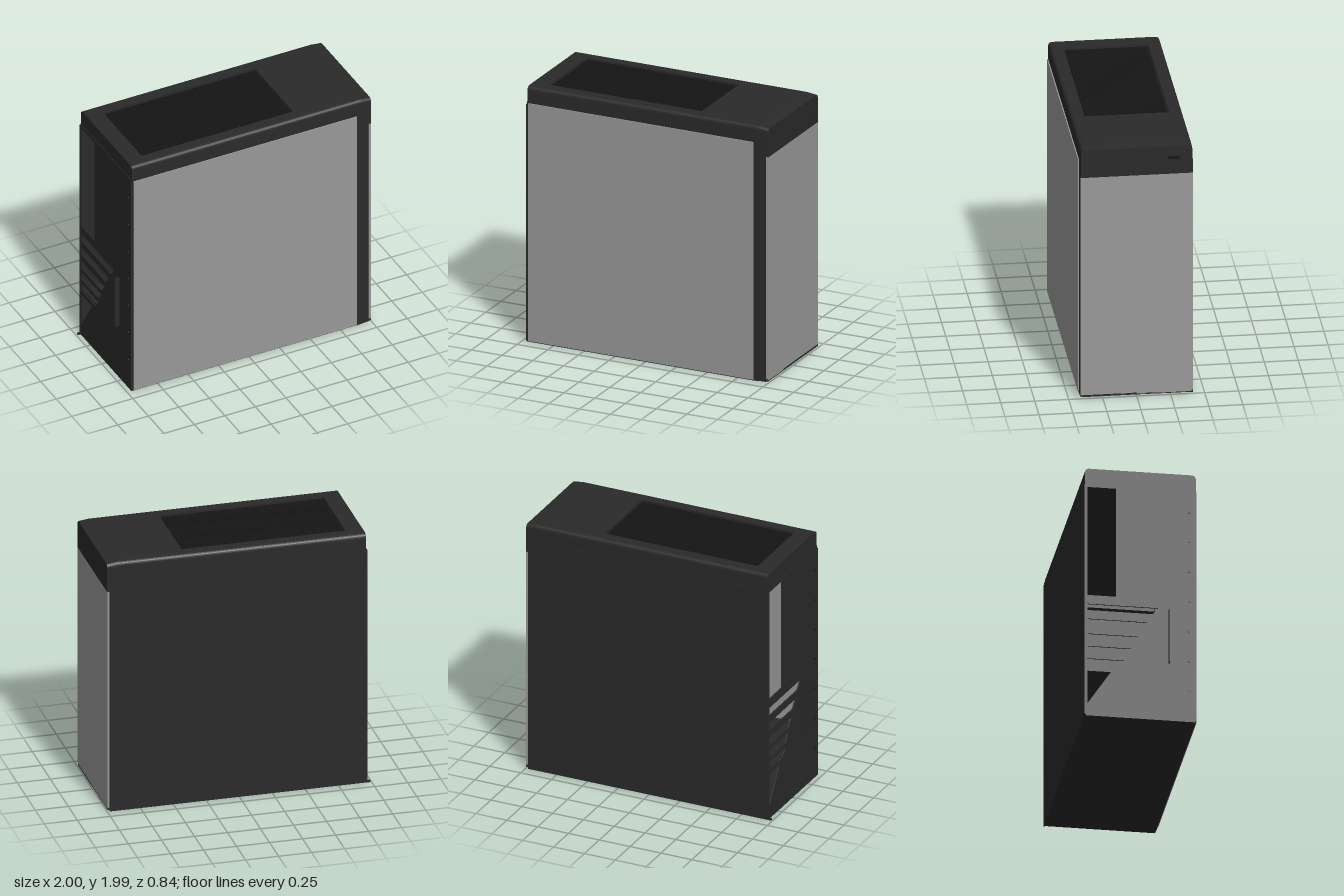
import * as THREE from 'three';

const black = new THREE.MeshStandardMaterial({ color: 0x2a2a2a, side: THREE.DoubleSide });
const dark = new THREE.MeshStandardMaterial({ color: 0x161616 });
const grey = new THREE.MeshStandardMaterial({ color: 0x999999, side: THREE.DoubleSide });

export function createModel() {
  const model = new THREE.Group();

  function add(name, geometry, material) {
    const mesh = new THREE.Mesh(geometry, material);
    mesh.name = name;
    model.add(mesh);
    return mesh;
  }
  // Box given by its two opposite corners
  function box(name, [x0, y0, z0], [x1, y1, z1], material = black) {
    const g = new THREE.BoxGeometry(x1 - x0, y1 - y0, z1 - z0);
    g.translate((x0 + x1) / 2, (y0 + y1) / 2, (z0 + z1) / 2);
    return add(name, g, material);
  }
  // Outline in (z, y), extruded along x from x0 to x1
  function extrudeX(shape, x0, x1) {
    const g = new THREE.ExtrudeGeometry(shape, { depth: x1 - x0, bevelEnabled: false, curveSegments: 6 });
    return g.rotateY(Math.PI / 2).translate(x0, 0, 0);
  }
  const polygon = (pts, Type = THREE.Shape) => new Type(pts.map(([z, y]) => new THREE.Vector2(-z, y)));

  // Cap cross-section with rounded top corners and an optional vent recess
  function capShape(bottom, recess = 0) {
    const w = 0.41, top = 1.99, r = 0.035, s = new THREE.Shape();
    s.moveTo(-w, bottom);
    s.lineTo(w, bottom);
    s.lineTo(w, top - r);
    s.quadraticCurveTo(w, top, w - r, top);
    if (recess) {
      s.lineTo(0.31, top);
      s.lineTo(0.31, top - recess);
      s.lineTo(-0.31, top - recess);
      s.lineTo(-0.31, top);
    }
    s.lineTo(-w + r, top);
    s.quadraticCurveTo(-w, top, -w, top - r);
    s.closePath();
    return s;
  }

  // Top cap in sections, the middle one carrying the vent recess
  add('topCapRear', extrudeX(capShape(1.86), -0.96, -0.83), black);
  add('topCapVent', extrudeX(capShape(1.86, 0.025), -0.83, 0.41), black);
  add('topCapMiddle', extrudeX(capShape(1.86), 0.41, 0.92), black);
  const nose = extrudeX(capShape(1.76), 0.92, 1);
  const p = nose.attributes.position;
  for (let i = 0; i < p.count; i++) {
    if (p.getX(i) > 0.99 && p.getY(i) > 1.9) p.setY(i, p.getY(i) - 0.01);
  }
  nose.computeVertexNormals();
  add('topCapNose', nose, black);

  // Vent mesh
  const vent = new THREE.Group();
  vent.name = 'topVent';
  const backing = new THREE.Mesh(new THREE.BoxGeometry(1.23, 0.006, 0.61), dark);
  backing.position.set(-0.21, 1.967, 0);
  vent.add(backing);
  function bars(count, span, size, along) {
    const inst = new THREE.BoxGeometry(...size);
    for (let i = 0; i <= count; i++) {
      const bar = new THREE.Mesh(inst, dark);
      const t = (i / count - 0.5) * span;
      bar.position.set(along === 'x' ? -0.21 + t : -0.21, 1.975, along === 'z' ? t : 0);
      vent.add(bar);
    }
  }
  bars(80, 1.21, [0.006, 0.01, 0.6], 'x');
  bars(40, 0.59, [1.22, 0.01, 0.006], 'z');
  model.add(vent);

  // Side panels
  box('glassSidePanel', [-0.95, 0.008, 0.408], [0.88, 1.86, 0.418], grey);
  box('glassPanelRearEdge', [-0.97, 0.005, 0.395], [-0.95, 1.85, 0.412]);
  box('solidSidePanel', [-0.97, 0, -0.416], [0.98, 1.86, -0.404]);
  box('panelFoot', [-0.99, 0, -0.418], [-0.96, 0.015, -0.404]);

  // Front pillar, open to the chassis behind it
  box('frontPillar', [0.88, 0.005, 0.395], [0.98, 1.87, 0.41]);
  box('frontWall', [0.965, 0.015, -0.405], [0.985, 1.78, 0.405]);

  // Front panel with rounded lower corners
  const f = 0.413, front = new THREE.Shape();
  front.moveTo(-f, 1.76);
  front.lineTo(-f, 0.04);
  front.quadraticCurveTo(-f, 0.018, -f + 0.022, 0.018);
  front.lineTo(f - 0.022, 0.018);
  front.quadraticCurveTo(f, 0.018, f, 0.04);
  front.lineTo(f, 1.76);
  front.closePath();
  add('frontPanel', extrudeX(front, 0.982, 0.998), grey);

  // Floor, with a rising front lip
  box('floor', [-0.965, 0, -0.41], [0.88, 0.015, 0.41]);
  const lip = box('floorLip', [0.88, 0, -0.412], [0.998, 0.015, 0.412]).geometry;
  const lp = lip.attributes.position;
  for (let i = 0; i < lp.count; i++) if (lp.getX(i) > 0.95) lp.setY(i, lp.getY(i) + 0.012);
  lip.computeVertexNormals();

  // Rear wall with port opening, expansion slots and power supply opening
  const rear = polygon([[-0.41, 0], [0.41, 0], [0.41, 1.87], [-0.41, 1.87]]);
  const hole = (pts) => rear.holes.push(polygon(pts, THREE.Path));
  hole([[-0.39, 0.97], [-0.18, 0.97], [-0.18, 1.84], [-0.39, 1.84]]);
  for (const [top, end] of [[0.9, 0.13], [0.78, 0.05], [0.66, -0.02], [0.56, -0.07], [0.46, -0.12]]) {
    hole([[-0.39, top - 0.065], [end - 0.05, top - 0.065], [end, top], [-0.39, top]]);
  }
  hole([[-0.39, 0.1], [-0.22, 0.36], [-0.39, 0.36]]);
  add('rearWall', extrudeX(rear, -0.965, -0.955), black);
  box('powerSupplyShroud', [-0.95, 0.39, -0.4], [0.88, 0.4, 0.4]);

  // Expansion slot bracket
  box('slotBracket', [-1, 0.46, 0.208], [-0.96, 0.89, 0.216]);

  // Rear screws
  const screw = new THREE.CylinderGeometry(0.01, 0.01, 0.008, 12).rotateZ(Math.PI / 2);
  for (let i = 0; i < 7; i++) {
    add('rearScrew', screw, dark).position.set(-0.967, 0.25 + i * 0.24, 0.36);
  }

  // Ports and buttons on the nose
  box('portFrame', [0.998, 1.875, -0.315], [1, 1.905, -0.23], dark);
  const button = new THREE.CylinderGeometry(0.009, 0.009, 0.004, 14).rotateZ(Math.PI / 2);
  for (const [y, z] of [[1.925, 0.345], [1.9, -0.37], [1.83, -0.37]]) {
    add('noseButton', button, dark).position.set(0.998, y, z);
  }
  return model;
}
